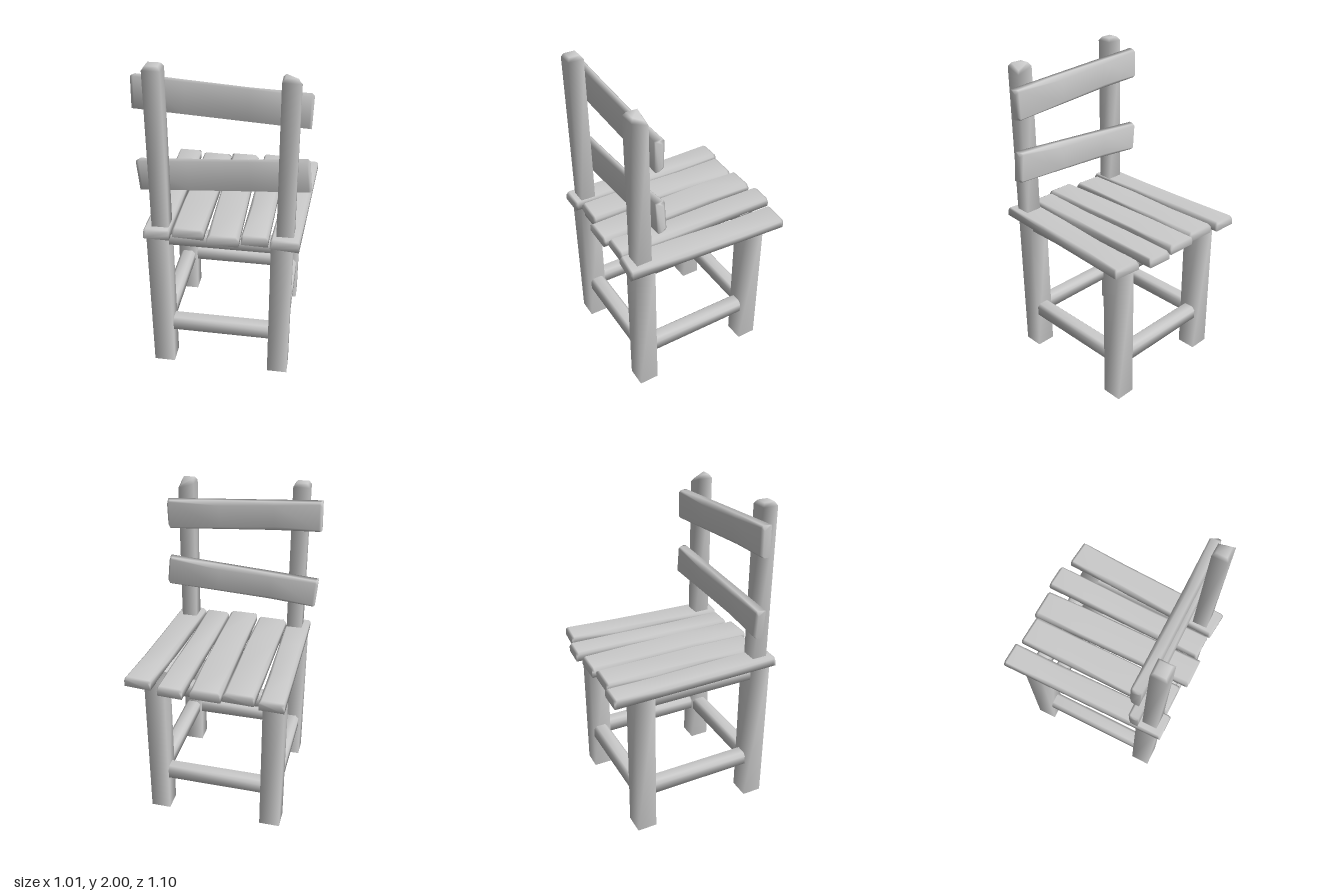
import * as THREE from 'three';

const material = new THREE.MeshStandardMaterial({ color: 0xcccccc, side: THREE.DoubleSide });
const V = (x, y, z) => new THREE.Vector3(x, y, z);

// Skin a list of equal rings; vertices are shared so the shading stays soft.
function loft(rings, capStart = true, capEnd = true) {
  const n = rings[0].length, index = [];
  for (let i = 0; i < rings.length - 1; i++)
    for (let j = 0; j < n; j++) {
      const a = i * n + j, b = i * n + (j + 1) % n;
      index.push(a, b, b + n, a, b + n, a + n);
    }
  const last = (rings.length - 1) * n;
  for (let j = 1; j < n - 1; j++) {
    if (capStart) index.push(0, j + 1, j);
    if (capEnd) index.push(last, last + j, last + j + 1);
  }
  const geometry = new THREE.BufferGeometry().setFromPoints(rings.flat());
  geometry.setIndex(index);
  geometry.computeVertexNormals();
  return geometry;
}

// Rough plank: base edge a0-a1 at the start, b0-b1 at the end, chamfered on the "up" side.
function plank([a0, a1, b0, b1], up, height, bevel, rough = 0, endDrop = 0) {
  const stations = rough ? [0, 0.015, 0.3, 0.65, 0.985, 1] : [0, 1];
  const rings = stations.map((t, i) => {
    const p = a0.clone().lerp(b0, t), q = a1.clone().lerp(b1, t);
    const side = q.clone().sub(p).normalize();
    const end = i === 0 || i === stations.length - 1;
    const top = height - (end ? endDrop : 0);
    const cutL = bevel * (1 + rough * Math.sin(i * 2.3 + a0.x * 9));
    const cutR = bevel * (1 + rough * Math.cos(i * 1.7 + a0.x * 7));
    const at = (base, s, h) => base.clone().addScaledVector(side, s).addScaledVector(up, h);
    return [p, q, at(q, 0, top - cutR), at(q, -cutR, top), at(p, cutL, top), at(p, 0, top - cutL)];
  });
  return loft(rings);
}

// Horizontal rectangle, counter-clockwise from above
const rect = (x0, x1, z0, z1, y) => [V(x1, y, z1), V(x1, y, z0), V(x0, y, z0), V(x0, y, z1)];

export function createModel() {
  const chair = new THREE.Group();
  chair.name = 'chair';
  const add = (name, geometry) => {
    const mesh = new THREE.Mesh(geometry, material);
    mesh.name = name;
    chair.add(mesh);
  };
  const UP = V(0, 1, 0);

  // Four square legs, open underneath
  const legX = [[-0.45, -0.32], [0.285, 0.41]];
  const legZ = [[-0.415, -0.29], [0.365, 0.49]];
  for (const [x0, x1] of legX)
    for (const [z0, z1] of legZ)
      add('leg', loft([rect(x0, x1, z0, z1, 0), rect(x0, x1, z0, z1, 0.975)], false, true));

  // Seat rails and lower stretchers between the legs
  for (const [name, y, h] of [['stretcher', 0.25, 0.08], ['seatRail', 0.9, 0.075]]) {
    for (const z of [-0.36, 0.42])
      add(name, plank([V(-0.32, y, z + 0.05), V(-0.32, y, z - 0.05),
        V(0.285, y, z + 0.05), V(0.285, y, z - 0.05)], UP, h, 0.02));
    for (const x of [-0.385, 0.35])
      add(name, plank([V(x - 0.05, y, -0.29), V(x + 0.05, y, -0.29),
        V(x - 0.05, y, 0.365), V(x + 0.05, y, 0.365)], UP, h, 0.02));
  }

  // Seat slats: x range and z at the far end, then at the post end
  const slats = [
    [-0.47, -0.32, -0.55, -0.545, -0.457, -0.305, 0.53, 0.532],
    [-0.29, -0.102, -0.522, -0.513, -0.295, -0.107, 0.493, 0.502],
    [-0.095, 0.09, -0.535, -0.53, -0.08, 0.105, 0.54, 0.543],
    [0.13, 0.283, -0.552, -0.543, 0.115, 0.27, 0.512, 0.518],
    [0.338, 0.505, -0.505, -0.49, 0.283, 0.45, 0.53, 0.547],
  ];
  for (const [xa, xb, za, zb, xc, xd, zc, zd] of slats)
    add('seatSlat', plank([V(xa, 0.97, za), V(xb, 0.97, zb), V(xc, 0.97, zc), V(xd, 0.97, zd)],
      UP, 0.058, 0.015, 0.4, 0.008));

  // Back posts with chamfered tops; one has a broken corner
  for (const [x0, x1, top, chip] of [[-0.415, -0.315, 2, 0], [0.315, 0.415, 1.975, 0.035]]) {
    const crown = rect(x0 + 0.015, x1 - 0.015, 0.405, 0.47, top);
    crown[1].y -= chip;
    const shoulder = rect(x0, x1, 0.39, 0.485, top - 0.022);
    shoulder[1].y -= chip;
    add('backPost', loft([rect(x0, x1, 0.39, 0.485, 1), shoulder, crown]));
  }

  // Two crooked back boards on the seat side of the posts
  const z = 0.39;
  const boards = [
    [V(-0.505, 1.91, z), V(-0.51, 1.725, z), V(0.48, 1.85, z), V(0.475, 1.667, z)],
    [V(-0.51, 1.397, z), V(-0.495, 1.215, z), V(0.477, 1.465, z), V(0.495, 1.28, z)],
  ];
  for (const corners of boards)
    add('backBoard', plank(corners, V(0, 0, -1), 0.06, 0.02, 0.5, 0.015));

  return chair;
}
